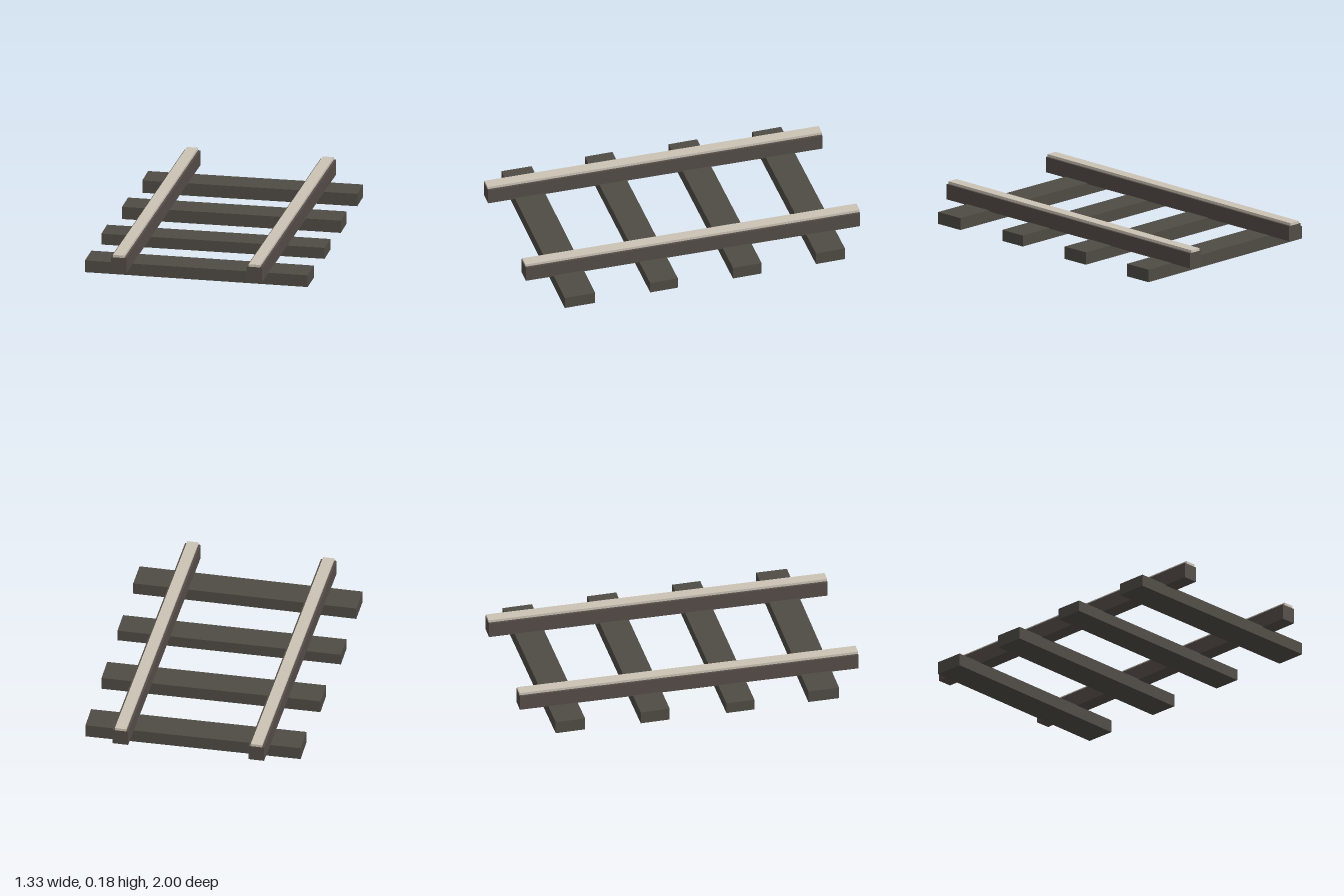
import * as THREE from 'three';

const wood = new THREE.MeshStandardMaterial({ color: 0x4f4b44 });
wood.name = 'dark wood';
const iron = new THREE.MeshStandardMaterial({ color: 0x544c47 });
iron.name = 'dark iron';
const steel = new THREE.MeshStandardMaterial({ color: 0xcbc3b5 });
steel.name = 'worn steel';

// Box placed by its bottom and top heights
function block(name, material, width, depth, bottom, top, x, z) {
  const mesh = new THREE.Mesh(new THREE.BoxGeometry(width, top - bottom, depth), material);
  mesh.name = name;
  mesh.position.set(x, (bottom + top) / 2, z);
  return mesh;
}

export function createModel() {
  const track = new THREE.Group();
  track.name = 'railTrack';

  // Slightly uneven sleepers: length, depth, bottom, top, x, z, turn
  const sleepers = [
    [1.262, 0.174, 0.0, 0.075, -0.009, -0.755, 0.02],
    [1.284, 0.172, 0.003, 0.077, -0.008, -0.255, 0.018],
    [1.311, 0.166, 0.01, 0.076, -0.008, 0.246, 0.016],
    [1.311, 0.182, 0.008, 0.079, 0.005, 0.747, 0.007],
  ];
  for (const [length, depth, bottom, top, x, z, turn] of sleepers) {
    const sleeper = block('sleeper', wood, length, depth, bottom, top, x, z);
    sleeper.rotation.y = turn;
    track.add(sleeper);
  }

  // Rails with a narrower bright running surface
  for (const [side, x] of [['right', -0.417], ['left', 0.383]]) {
    const rail = new THREE.Group();
    rail.name = side + 'Rail';
    rail.add(block('railBody', iron, 0.091, 2, 0.073, 0.164, x, 0));
    rail.add(block('railHead', steel, 0.066, 2, 0.164, 0.179, x, 0));
    track.add(rail);
  }
  return track;
}
